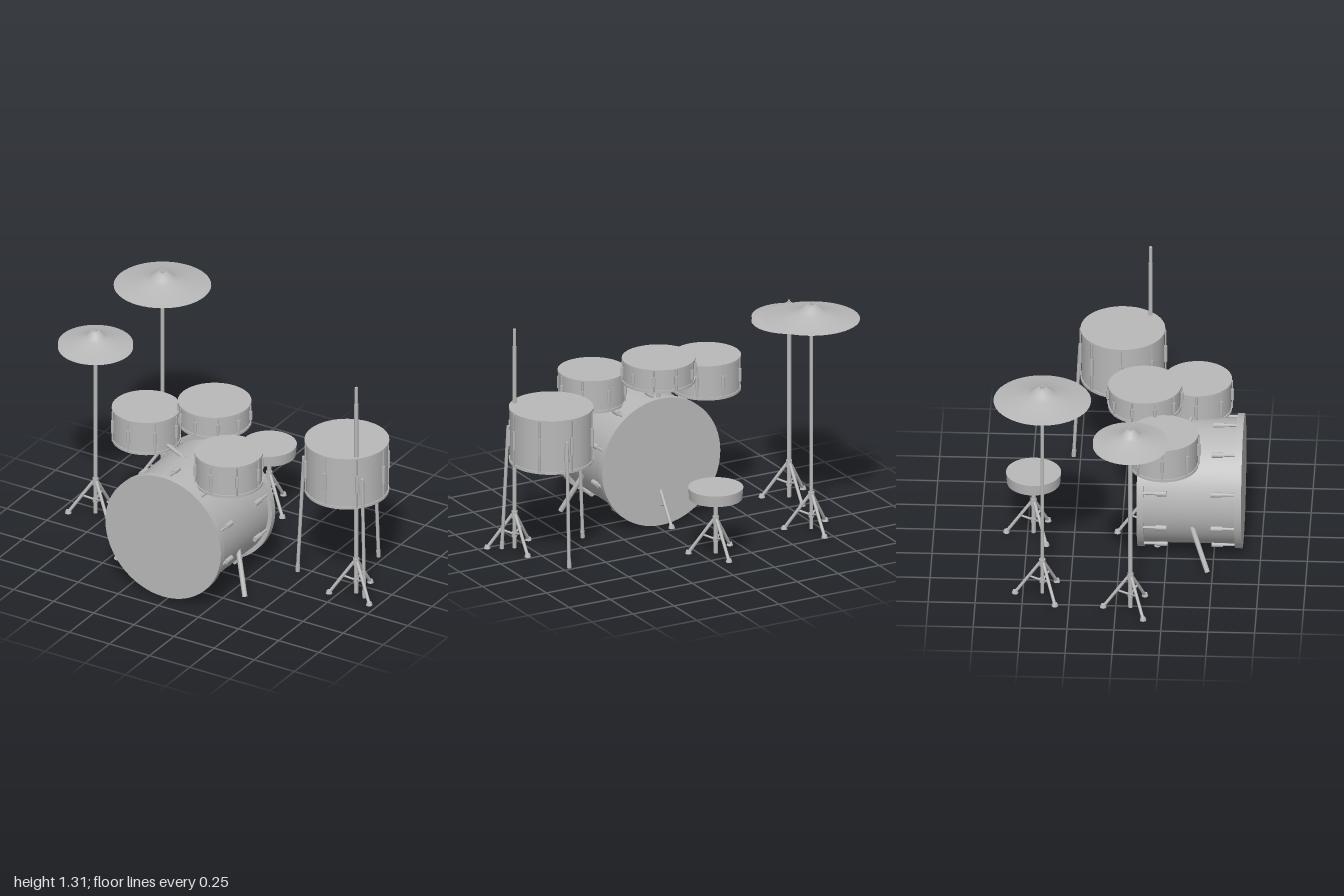
import * as THREE from 'three';

const grey = new THREE.MeshStandardMaterial({ color: 0xb8b8b8 });
grey.name = 'plain grey';
const greyThin = grey;
greyThin.side = THREE.DoubleSide;

const V = (x, y, z) => new THREE.Vector3(x, y, z);

function group(name, parent, x = 0, y = 0, z = 0) {
  const g = new THREE.Group();
  g.name = name;
  g.position.set(x, y, z);
  parent.add(g);
  return g;
}

// Upright cylinder between two heights
function cyl(parent, name, r0, r1, y0, y1, seg = 48) {
  const m = new THREE.Mesh(new THREE.CylinderGeometry(r1, r0, y1 - y0, seg), grey);
  m.name = name;
  m.position.y = (y0 + y1) / 2;
  parent.add(m);
  return m;
}

// Round bar between two points
function bar(parent, name, a, b, r, seg = 10) {
  const d = b.clone().sub(a);
  const m = new THREE.Mesh(new THREE.CylinderGeometry(r, r, d.length(), seg), grey);
  m.name = name;
  m.position.copy(a).addScaledVector(d, 0.5);
  m.quaternion.setFromUnitVectors(V(0, 1, 0), d.normalize());
  parent.add(m);
  return m;
}

// Point around the vertical axis, angle 0 facing +z
const around = (r, a, y) => V(r * Math.sin(a), y, r * Math.cos(a));

// Shell, two hoops and a ring of tension lugs; base at y = 0
function drum(parent, name, x, y, z, r, h, lugs, lugLength) {
  const g = group(name, parent, x, y, z);
  cyl(g, 'shell', r - 0.006, r - 0.006, 0.003, h - 0.003);
  cyl(g, 'lowerHoop', r, r, 0, 0.014);
  cyl(g, 'upperHoop', r, r, h - 0.014, h);
  for (let i = 0; i < lugs; i++) {
    const a = (i / lugs) * Math.PI * 2;
    const p = (py) => around(r + 0.001, a, py);
    bar(g, 'tensionRod', p(0.01), p(h - 0.006), 0.0045, 6);
    bar(g, 'lug', p((h - lugLength) / 2), p((h + lugLength) / 2), 0.0095, 8);
  }
  return g;
}

// Pole on three braced legs, one leg pointing to the back
function tripod(parent, name, x, z, top, r) {
  const g = group(name, parent, x, 0, z);
  cyl(g, 'pole', r, r, 0.025, top, 16);
  cyl(g, 'legCollar', 0.017, 0.017, 0.195, 0.235, 16);
  cyl(g, 'braceCollar', 0.015, 0.015, 0.09, 0.115, 16);
  for (let i = 0; i < 3; i++) {
    const a = Math.PI + (i * Math.PI * 2) / 3;
    bar(g, 'leg', around(0.008, a, 0.22), around(0.142, a, 0.03), 0.009);
    bar(g, 'brace', around(0, a, 0.102), around(0.072, a, 0.13), 0.006, 8);
    const foot = cyl(g, 'foot', 0.018, 0.013, 0.021, 0.038, 12);
    foot.position.x = 0.145 * Math.sin(a);
    foot.position.z = 0.145 * Math.cos(a);
  }
  return g;
}

// Thin cymbal: shallow cone with a raised bell, rim at y
function cymbal(parent, name, y, r, bow, bellR, bellH) {
  const profile = [[r, 0], [r * 0.7, bow * 0.36], [bellR, bow], [bellR * 0.72, bow + bellH * 0.4],
    [bellR * 0.42, bow + bellH * 0.85], [bellR * 0.25, bow + bellH], [0, bow + bellH]];
  const pts = profile.reverse().map(([px, py]) => new THREE.Vector2(px, py));
  const m = new THREE.Mesh(new THREE.LatheGeometry(pts, 48), greyThin);
  m.name = name;
  m.position.y = y;
  parent.add(m);
}

export function createModel() {
  const root = new THREE.Group();
  root.name = 'drumKit';

  // Bass drum lying along z: local y of the inner group points to +z
  const bass = group('bassDrum', root, -0.03, 0.36, 0);
  const body = group('bassBody', bass);
  body.rotation.x = Math.PI / 2;
  cyl(body, 'bassShell', 0.336, 0.336, 0.1, 0.645, 64);
  cyl(body, 'rearHoop', 0.36, 0.36, 0.095, 0.13, 64);
  cyl(body, 'frontHoop', 0.36, 0.36, 0.615, 0.652, 64);
  for (let i = 0; i < 10; i++) {
    const a = (i / 10) * Math.PI * 2;
    const p = (py) => around(0.343, a, py);
    bar(body, 'frontLug', p(0.49), p(0.55), 0.0145, 10);
    bar(body, 'frontTensionRod', p(0.545), p(0.62), 0.008, 8);
    bar(body, 'rearLug', p(0.195), p(0.255), 0.0145, 10);
    bar(body, 'rearTensionRod', p(0.125), p(0.2), 0.008, 8);
  }
  for (const s of [-1, 1]) {
    bar(bass, 'spur', V(s * 0.3, -0.09, 0.382), V(s * 0.402, -0.33, 0.475), 0.014, 12);
  }

  // Toms and snare
  drum(root, 'rightTom', -0.385, 0.665, 0.24, 0.185, 0.195, 8, 0.07);
  drum(root, 'leftTom', 0.224, 0.65, 0.397, 0.183, 0.185, 8, 0.065);
  drum(root, 'snareDrum', -0.03, 0.813, 0.125, 0.196, 0.132, 10, 0.05);
  tripod(root, 'snareStand', -0.03, 0.125, 0.815, 0.011);

  // Tom mounts rising from the bass drum
  const mount = group('tomMount', root);
  bar(mount, 'rightTomArm', V(-0.26, 0.705, 0.28), V(-0.08, 0.685, 0.352), 0.01);
  bar(mount, 'rightTomBrace', V(-0.25, 0.69, 0.262), V(-0.09, 0.68, 0.33), 0.008);
  bar(mount, 'leftTomArm', V(0.1, 0.7, 0.38), V(-0.02, 0.685, 0.352), 0.01);

  // Floor tom with three splayed legs
  const floorTom = drum(root, 'floorTom', 0.705, 0.545, -0.022, 0.226, 0.305, 8, 0.1);
  for (let i = 0; i < 3; i++) {
    const a = Math.PI - 0.14 + (i * Math.PI * 2) / 3;
    bar(floorTom, 'floorTomLeg', around(0.232, a, 0.18), around(0.266, a, -0.515), 0.0095);
    bar(floorTom, 'legBracket', around(0.23, a, 0.07), around(0.226, a, 0.16), 0.014);
    bar(floorTom, 'legTip', around(0.266, a, -0.52), around(0.264, a, -0.48), 0.012);
  }

  // Bare stand rising through the floor tom
  const bare = tripod(root, 'bareStand', 0.85, 0.12, 1.17, 0.011);
  cyl(bare, 'upperPole', 0.0085, 0.0085, 1.16, 1.27, 16);

  // Hi-hat
  const hat = tripod(root, 'hiHatStand', -0.8, 0.08, 1.06, 0.012);
  cymbal(hat, 'lowerHat', 1.027, 0.2, 0.033, 0.065, 0.03);
  cymbal(hat, 'upperHat', 1.054, 0.2, 0.033, 0.065, 0.042);
  cyl(hat, 'hatRod', 0.006, 0.006, 1.05, 1.145, 12);
  cyl(hat, 'hatClutch', 0.011, 0.011, 1.12, 1.135, 12);

  // Large cymbal
  const crash = tripod(root, 'cymbalStand', -0.672, -0.395, 1.25, 0.01);
  cymbal(crash, 'largeCymbal', 1.22, 0.26, 0.037, 0.085, 0.042);
  cyl(crash, 'cymbalRod', 0.006, 0.006, 1.24, 1.312, 12);
  cyl(crash, 'cymbalNut', 0.011, 0.011, 1.29, 1.305, 12);

  // Stool
  const stool = tripod(root, 'stool', -0.05, -0.467, 0.345, 0.012);
  cyl(stool, 'seat', 0.142, 0.147, 0.338, 0.4);

  return root;
}
